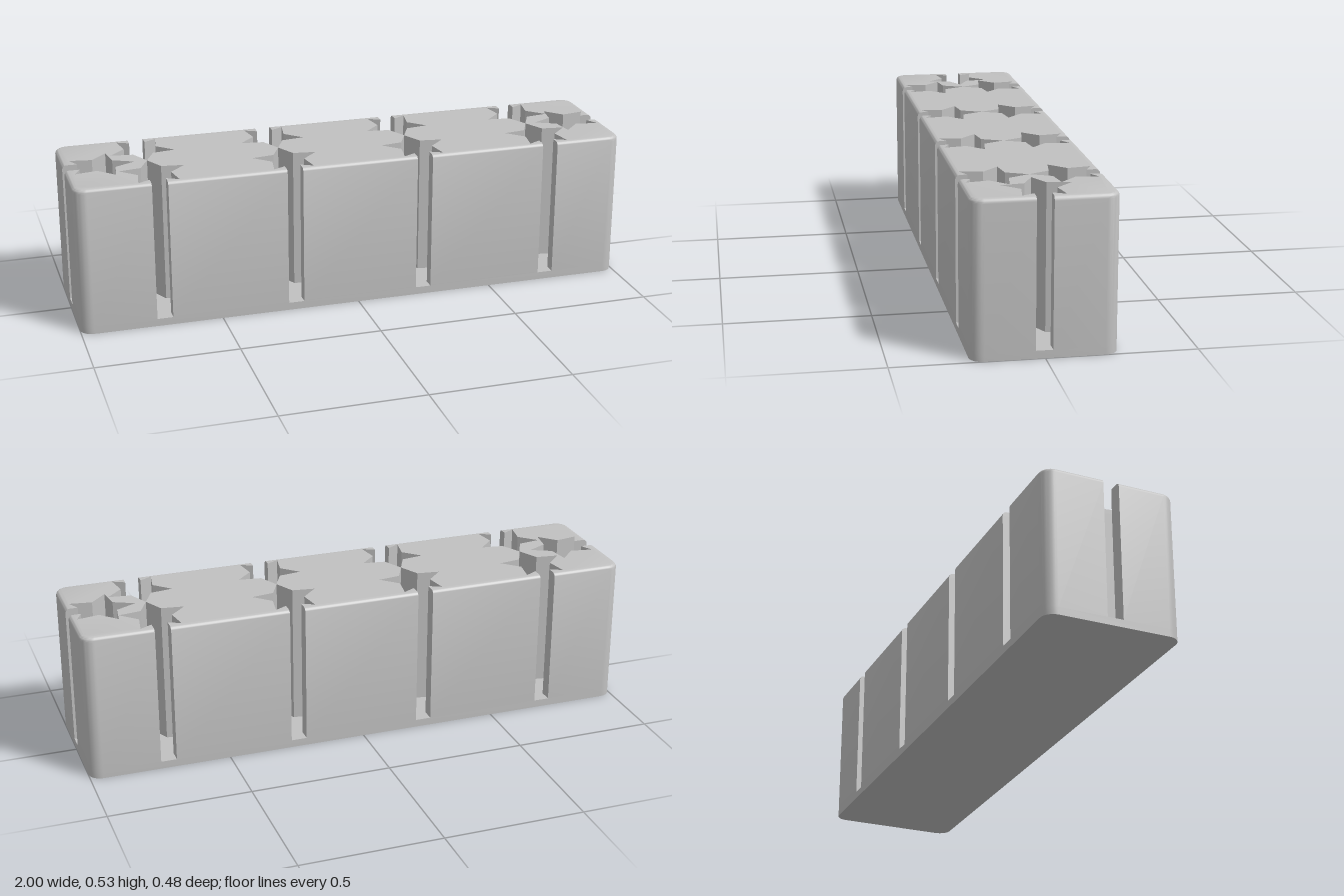
import * as THREE from 'three';
import { toCreasedNormals } from 'three/addons/utils/BufferGeometryUtils.js';

const HALF_X = 1, HALF_Z = 0.24, HEIGHT = 0.53, FLOOR = 0.027;
const CORNER = 0.045, FILLET = 0.016;
const STAR = 0.121, INNER = STAR * 0.5, SLOT = 0.028; // star radii and half slot width
const OFF = 0.003; // small shift of the pockets towards the front

// Pocket positions: t runs along the wall, c is the star centre measured outwards
const starX = [-0.706, -0.231, 0.245, 0.722];
const sides = [
  { o: [0, -1], wall: HALF_Z, len: HALF_X, stars: starX.map(t => ({ t, c: STAR + OFF + 0.0005 })) },
  { o: [1, 0], wall: HALF_X, len: HALF_Z, stars: [{ t: -OFF, c: 0.881 }] },
  { o: [0, 1], wall: HALF_Z, len: HALF_X, stars: starX.map(x => ({ t: -x, c: STAR - OFF + 0.0005 })).reverse() },
  { o: [-1, 0], wall: HALF_X, len: HALF_Z, stars: [{ t: OFF, c: 0.872 }] },
];

// Half of a star pocket opening through a slot, as [t, u] from the wall to the inner tip
function halfPocket(c, wall) {
  const tipT = STAR * Math.sin(Math.PI / 5), tipU = STAR * Math.cos(Math.PI / 5);
  const pts = [[SLOT, wall], [SLOT, c + INNER + (tipU - INNER) * SLOT / tipT]];
  for (let k = 4; k >= 0; k--) {
    const r = k % 2 ? INNER : STAR, a = k * Math.PI / 5;
    pts.push([r * Math.sin(a), c - r * Math.cos(a)]);
  }
  return pts;
}

// Counter-clockwise rounded rectangle, with or without the pockets; y of the outline is -z
function outline(inset, pockets) {
  const pts = [];
  for (const { o, wall, len, stars } of sides) {
    const add = (t, u) => pts.push(new THREE.Vector2(o[0] * u - o[1] * t, o[1] * u + o[0] * t));
    if (pockets) for (const { t, c } of stars) {
      const half = halfPocket(c, wall - inset);
      half.forEach(p => add(t - p[0], p[1]));
      half.slice(0, -1).reverse().forEach(p => add(t + p[0], p[1]));
    }
    for (let i = 0; i <= 8; i++) {
      const a = i / 8 * Math.PI / 2, r = CORNER - inset;
      add(len - CORNER + r * Math.sin(a), wall - CORNER + r * Math.cos(a));
    }
  }
  return pts;
}

// Walls with notched pockets, rounded over at the top rim, closed by a flat top
function blockGeometry() {
  const layers = [{ y: FLOOR, pts: outline(0, true) }];
  const steps = 5;
  for (let i = 0; i <= steps; i++) {
    const a = i / steps * Math.PI / 2;
    layers.push({
      y: HEIGHT - FILLET * (1 - Math.sin(a)),
      pts: outline(FILLET * (1 - Math.cos(a)), true),
    });
  }
  const pos = [], index = [], n = layers[0].pts.length;
  for (const { y, pts } of layers) for (const p of pts) pos.push(p.x, y, -p.y);
  for (let l = 0; l < layers.length - 1; l++) {
    for (let i = 0; i < n; i++) {
      const a = l * n + i, b = l * n + (i + 1) % n;
      index.push(a, b, b + n, a, b + n, a + n);
    }
  }
  const top = (layers.length - 1) * n;
  for (const f of THREE.ShapeUtils.triangulateShape(layers[layers.length - 1].pts, [])) {
    index.push(top + f[0], top + f[1], top + f[2]);
  }
  const g = new THREE.BufferGeometry();
  g.setAttribute('position', new THREE.Float32BufferAttribute(pos, 3));
  g.setIndex(index);
  return toCreasedNormals(g, 0.5);
}

export function createModel() {
  const group = new THREE.Group();
  group.name = 'starPocketBlock';
  const grey = new THREE.MeshStandardMaterial({ color: 0xc0c0c0 });
  grey.name = 'grey';

  // Solid slab that forms the pocket floors
  const slab = new THREE.ExtrudeGeometry(new THREE.Shape(outline(0, false)), { depth: FLOOR, bevelEnabled: false });
  slab.rotateX(-Math.PI / 2);
  const base = new THREE.Mesh(toCreasedNormals(slab, 0.5), grey);
  base.name = 'base';

  const block = new THREE.Mesh(blockGeometry(), grey);
  block.name = 'blockWithStarPockets';

  group.add(base, block);
  return group;
}
